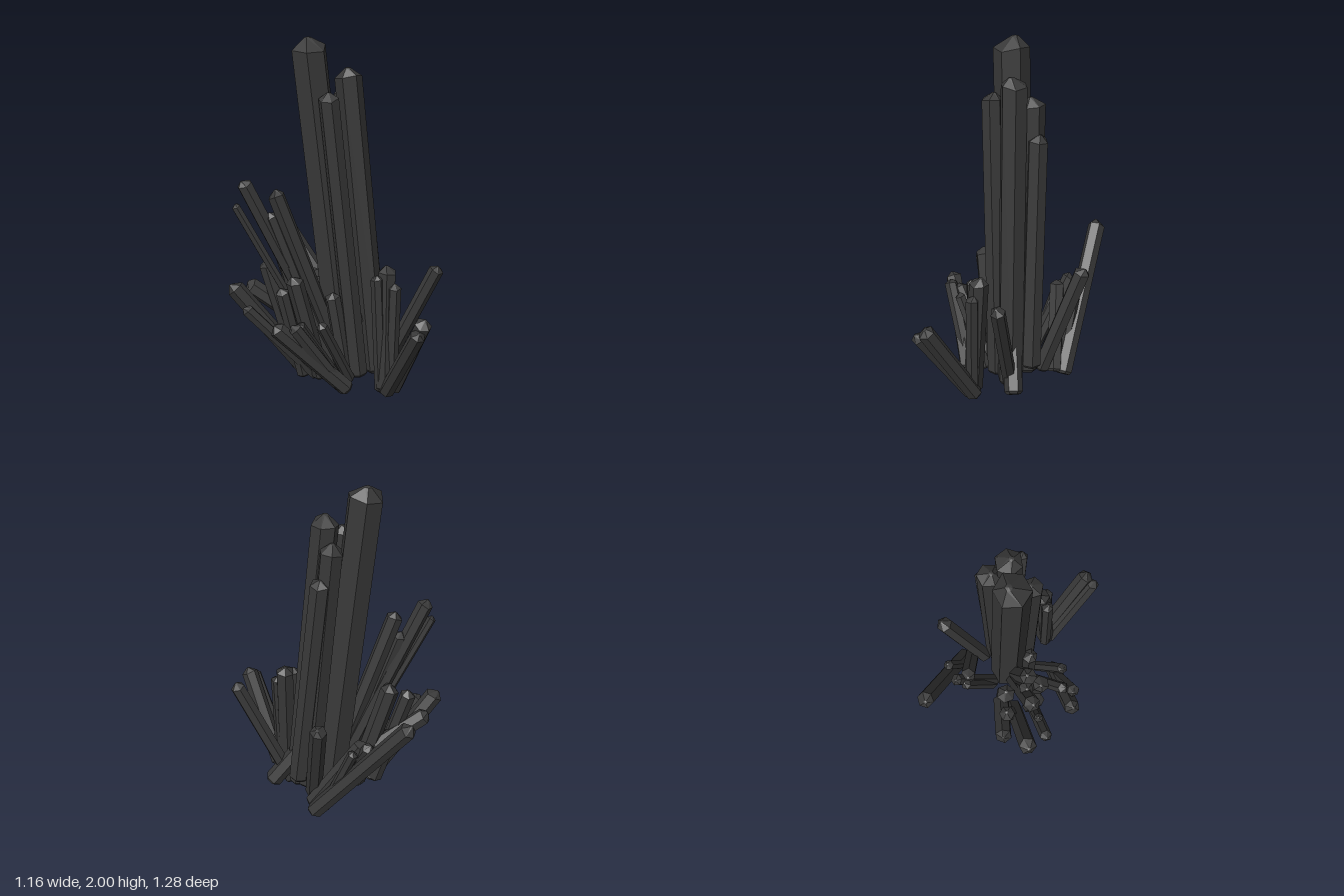
import * as THREE from 'three';

// Each crystal: base x,y,z, tip x,y,z, radius
const spires = [
  [0.09, 0.06, -0.03, -0.12, 2.0, -0.06, 0.1],
  [0.25, 0.05, 0.06, 0.09, 1.84, -0.01, 0.076],
  [0.13, 0.05, 0.1, -0.04, 1.72, 0.075, 0.058],
  [0.23, 0.1, -0.05, 0.1, 1.72, -0.115, 0.066],
  [0.29, 0.16, -0.05, 0.165, 1.53, -0.12, 0.058],
];
const leftShards = [
  [0.04, 0.1, -0.02, -0.49, 1.22, -0.08, 0.045],
  [0.06, 0.1, 0.0, -0.32, 1.16, -0.04, 0.048],
  [0.0, 0.08, 0.0, -0.34, 1.03, -0.06, 0.04],
  [-0.05, 0.15, 0.01, -0.54, 1.09, -0.06, 0.026],
  [-0.14, 0.05, -0.07, -0.56, 0.6, -0.12, 0.052],
  [-0.15, 0.33, -0.15, -0.45, 0.55, -0.235, 0.05],
  [-0.1, 0.05, 0.04, -0.51, 0.5, 0.01, 0.036],
  [-0.17, 0.05, -0.1, -0.35, 0.7, -0.18, 0.045],
  [-0.08, 0.05, 0.07, -0.24, 0.68, 0.07, 0.05],
  [-0.05, 0.06, -0.1, -0.25, 0.75, -0.15, 0.054],
  [-0.17, 0.05, 0.02, -0.3, 0.6, 0.03, 0.04],
];
const frontLeftShards = [
  [0.03, 0.04, 0.25, -0.39, 0.46, 0.22, 0.048],
  [0.0, 0.05, 0.24, -0.29, 0.47, 0.265, 0.038],
  [0.0, 0.05, 0.1, -0.25, 0.46, 0.22, 0.034],
  [0.07, 0.05, 0.15, -0.13, 0.46, 0.255, 0.032],
  [0.06, 0.06, 0.1, -0.02, 0.57, 0.08, 0.045],
];
const frontRightShards = [
  [0.24, 0.03, 0.28, 0.255, 0.76, 0.24, 0.054],
  [0.22, 0.02, 0.27, 0.19, 0.72, 0.26, 0.036],
  [0.27, 0.03, 0.29, 0.285, 0.67, 0.29, 0.038],
  [0.24, 0.02, 0.3, 0.325, 0.51, 0.62, 0.044],
  [0.29, 0.03, 0.28, 0.365, 0.56, 0.59, 0.048],
  [0.29, 0.06, 0.07, 0.56, 0.73, 0.23, 0.042],
  [0.41, 0.07, 0.09, 0.12, 0.45, 0.02, 0.052],
];
const backShards = [
  [0.28, 0.06, -0.25, -0.155, 0.8, -0.61, 0.05],
  [0.23, 0.09, -0.13, 0.285, 0.74, -0.36, 0.048],
  [0.06, 0.07, -0.12, -0.01, 0.55, -0.39, 0.036],
  [0.04, 0.07, -0.14, -0.04, 0.5, -0.34, 0.032],
  [0.27, 0.08, -0.2, -0.01, 0.52, -0.31, 0.045],
  [0.22, 0.07, -0.26, 0.09, 0.55, -0.4, 0.03],
];

// Hexagonal prism with a chamfered foot and an off-centre faceted point
function crystalGeometry(r, h, seed) {
  const profile = [[0, 0], [r * 0.75, 0], [r, r * 0.3], [r, h - r * 0.65], [r * 0.2, h - r * 0.04], [0, h]];
  const geo = new THREE.LatheGeometry(profile.map(([x, y]) => new THREE.Vector2(x, y)), 6);
  const p = geo.attributes.position;
  for (let i = 0; i < p.count; i++) {
    const x = p.getX(i), z = p.getZ(i), y = p.getY(i);
    if (y > h - r * 0.3) {
      p.setX(i, x + r * 0.2 * Math.sin(seed * 2.3));
      p.setZ(i, z + r * 0.2 * Math.cos(seed * 2.3));
    } else if (y > h / 2) {
      p.setY(i, y + 0.12 * r * Math.sin(2 * Math.atan2(z, x) + seed));
    }
  }
  return geo;
}

export function createModel() {
  const model = new THREE.Group();
  model.name = 'crystalCluster';
  const material = new THREE.MeshStandardMaterial({ color: 0x383838, flatShading: true });
  const up = new THREE.Vector3(0, 1, 0);
  let seed = 0;

  function addCrystals(name, list) {
    const group = new THREE.Group();
    group.name = name;
    list.forEach(([bx, by, bz, tx, ty, tz, r], i) => {
      const base = new THREE.Vector3(bx, by, bz);
      const axis = new THREE.Vector3(tx, ty, tz).sub(base);
      const mesh = new THREE.Mesh(crystalGeometry(r, axis.length(), ++seed), material);
      mesh.name = `${name}Crystal${i + 1}`;
      mesh.position.copy(base);
      mesh.quaternion.setFromUnitVectors(up, axis.normalize());
      mesh.rotateY(seed * 0.7);
      group.add(mesh);
    });
    model.add(group);
  }

  addCrystals('tallSpires', spires);
  addCrystals('leftShards', leftShards);
  addCrystals('frontLeftShards', frontLeftShards);
  addCrystals('frontRightShards', frontRightShards);
  addCrystals('backShards', backShards);
  return model;
}
